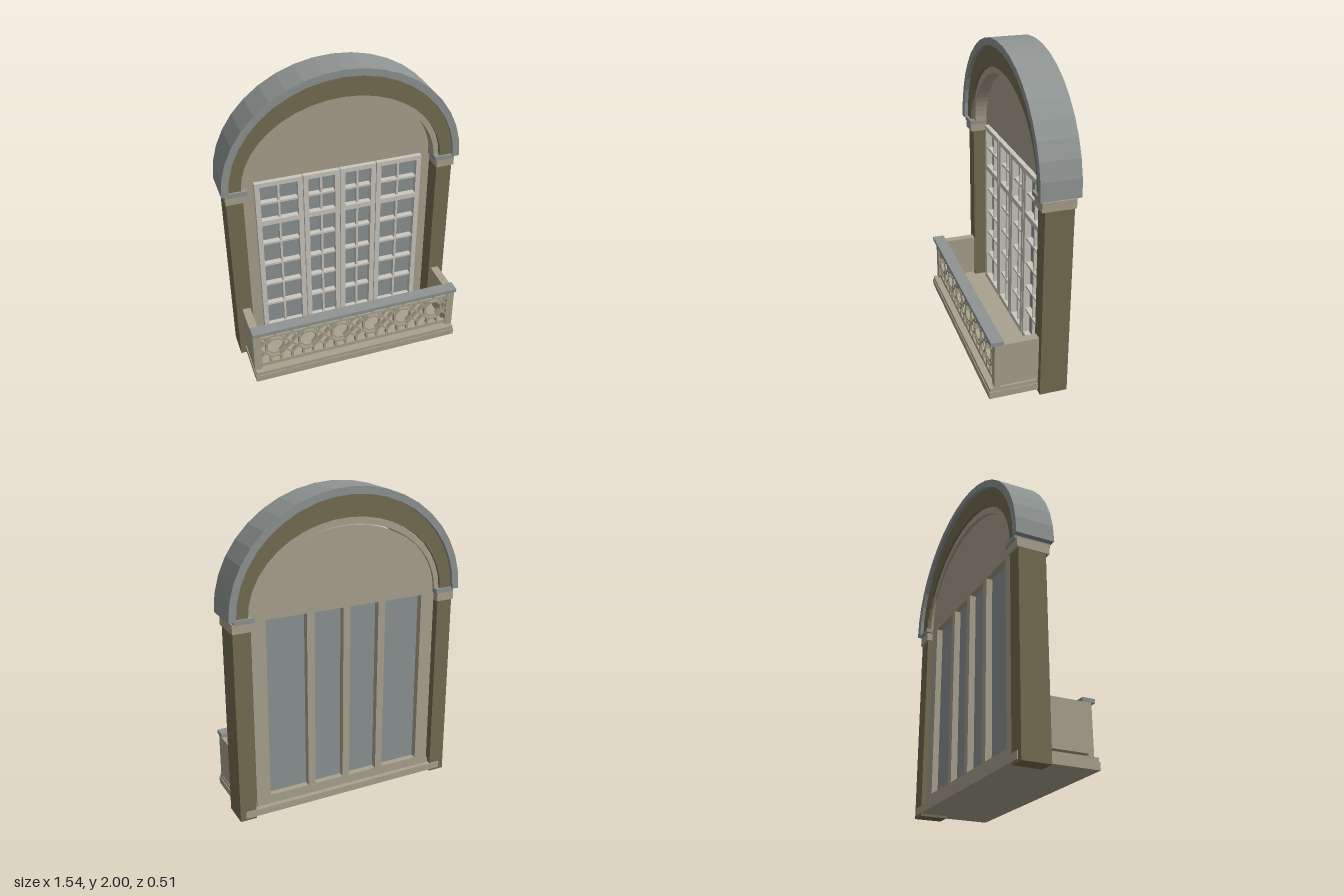
import * as THREE from 'three';

const mat = (name, color) => {
  const m = new THREE.MeshStandardMaterial({ color });
  m.name = name;
  return m;
};

export function createModel() {
  const stone = mat('beige stone', 0xa9a28e);
  const brown = mat('brown stone', 0x756d52);
  const metal = mat('grey metal', 0x8f9593);
  const paint = mat('pale paint', 0xcbc8bf);
  const glass = mat('grey glass', 0x8c9393);
  const model = new THREE.Group();

  const add = (name, geometry, material, parent = model) => {
    const mesh = new THREE.Mesh(geometry, material);
    mesh.name = name;
    parent.add(mesh);
    return mesh;
  };
  const group = (name) => {
    const g = new THREE.Group();
    g.name = name;
    model.add(g);
    return g;
  };
  // Box given by its limits on each axis
  const box = (name, x0, x1, y0, y1, z0, z1, material, parent) => {
    const m = add(name, new THREE.BoxGeometry(x1 - x0, y1 - y0, z1 - z0), material, parent);
    m.position.set((x0 + x1) / 2, (y0 + y1) / 2, (z0 + z1) / 2);
    return m;
  };
  const extrude = (name, shape, z0, z1, material, parent) => {
    const geo = new THREE.ExtrudeGeometry(shape, { depth: z1 - z0, bevelEnabled: false });
    return add(name, geo.translate(0, 0, z0), material, parent);
  };
  const rect = (x0, x1, y0, y1) => [[x0, y0], [x1, y0], [x1, y1], [x0, y1]].map(p => new THREE.Vector2(...p));

  // Half ellipse from +x over the top to -x
  const SPRING = 1.3;
  const arc = (rx, ry, n) => Array.from({ length: n + 1 }, (_, i) => {
    const a = Math.PI * i / n;
    return new THREE.Vector2(rx * Math.cos(a), SPRING + ry * Math.sin(a));
  });
  const archBand = (name, outer, inner, n, z0, z1, material) =>
    extrude(name, new THREE.Shape([...arc(...outer, n), ...arc(...inner, n).reverse()]), z0, z1, material);

  // Arch in three stepped bands
  archBand('archHood', [0.77, 0.7], [0.725, 0.655], 20, -0.258, -0.015, metal);
  archBand('archRing', [0.727, 0.657], [0.645, 0.52], 20, -0.235, -0.04, brown);
  archBand('archMoulding', [0.65, 0.525], [0.61, 0.475], 40, -0.22, -0.06, stone);

  // Columns with capitals
  for (const s of [-1, 1]) {
    const g = group(s > 0 ? 'leftColumn' : 'rightColumn');
    const part = (name, a, b, y0, y1, z0, z1, m) =>
      box(name, Math.min(s * a, s * b), Math.max(s * a, s * b), y0, y1, z0, z1, m, g);
    part('shaft', 0.635, 0.74, 0, 1.225, -0.23, -0.055, brown);
    part('capital', 0.625, 0.745, 1.225, 1.283, -0.24, -0.035, stone);
    part('capitalSlab', 0.61, 0.735, 1.28, 1.308, -0.25, -0.025, metal);
  }

  // Back wall with four tall openings
  const wall = new THREE.Shape([
    new THREE.Vector2(-0.62, 0.06), new THREE.Vector2(0.62, 0.06), ...arc(0.62, 0.465, 40),
  ]);
  const leaves = [[-0.55, -0.245], [-0.24, -0.002], [0.002, 0.24], [0.245, 0.55]];
  for (const [a, b] of leaves) wall.holes.push(new THREE.Path(rect(a + 0.022, b - 0.022, 0.12, 1.27)));
  extrude('wall', wall, -0.205, -0.14, stone);

  // Window leaves: frame with transom, glass and glazing bars
  leaves.forEach(([a, b], i) => {
    const g = group('window' + (i + 1));
    const frame = new THREE.Shape(rect(a, b, 0.11, 1.29));
    const p0 = a + 0.032, p1 = b - 0.032, mid = (a + b) / 2;
    frame.holes.push(new THREE.Path(rect(p0, p1, 0.145, 0.975)));
    frame.holes.push(new THREE.Path(rect(p0, p1, 1.01, 1.26)));
    extrude('frame', frame, -0.15, -0.11, paint, g);
    box('glass', a + 0.01, b - 0.01, 0.115, 1.28, -0.165, -0.158, glass, g);
    for (const [y0, y1] of [[0.145, 0.975], [1.01, 1.26]])
      box('uprightBar', mid - 0.007, mid + 0.007, y0, y1, -0.158, -0.125, paint, g);
    for (const y of [0.32, 0.49, 0.655, 0.825, 1.132])
      box('crossBar', p0, p1, y - 0.007, y + 0.007, -0.158, -0.12, paint, g);
  });

  // Balcony floor and sill
  const balcony = group('balcony');
  box('floor', -0.705, 0.705, 0.015, 0.06, -0.235, 0.255, stone, balcony);
  box('floorEdge', -0.7, 0.7, 0.06, 0.085, -0.2, 0.25, stone, balcony);
  for (const s of [-1, 1]) {
    const side = box('sidePanel', -0.0265, 0.0265, 0.098, 0.385, -0.06, 0.22, stone, balcony);
    side.position.x = s * 0.6765;
    const post = box('cornerPost', -0.0225, 0.0225, 0.08, 0.385, 0.185, 0.22, stone, balcony);
    post.position.x = s * 0.68;
  }
  box('handrail', -0.705, 0.705, 0.385, 0.41, 0.165, 0.243, metal, balcony);

  // Front lattice
  const lattice = group('lattice');
  const bar = (x0, y0, x1, y1, w = 0.015) => {
    const m = box('latticeBar', 0, Math.hypot(x1 - x0, y1 - y0) + w * 0.4, 0, w, 0.19, 0.215, stone, lattice);
    m.position.set((x0 + x1) / 2, (y0 + y1) / 2, 0.2025);
    m.rotation.z = Math.atan2(y1 - y0, x1 - x0);
  };
  bar(-0.66, 0.372, 0.66, 0.372, 0.026);
  bar(-0.66, 0.34, 0.66, 0.34);
  bar(-0.66, 0.115, 0.66, 0.115, 0.025);
  const step = 0.222, cy = 0.255;
  for (let i = 0; i < 6; i++) {
    const x = (i - 2.5) * step, h = step / 2;
    // Wide diamond, touching its neighbours
    for (const s of [-1, 1]) for (const t of [-1, 1]) {
      bar(x + s * h, cy, x + s * 0.03, cy + t * 0.085);
      bar(x + s * h, cy + t * 0.085, x + s * 0.06, cy + t * 0.035, 0.012);
    }
    // Octagonal ring
    const ring = new THREE.RingGeometry(0.05, 0.066, 8, 1, Math.PI / 8);
    ring.dispose();
    const oct = r => Array.from({ length: 8 }, (_, k) => new THREE.Vector2(
      x + r * Math.cos((k + 0.5) * Math.PI / 4), cy + r * Math.sin((k + 0.5) * Math.PI / 4)));
    const shape = new THREE.Shape(oct(0.07));
    shape.holes.push(new THREE.Path(oct(0.055)));
    extrude('latticeRing', shape, 0.19, 0.215, stone, lattice);
    // Short uprights above and below
    bar(x, 0.335, x, 0.365);
    bar(x + h, 0.335, x + h, 0.365);
    for (const s of [-1, 1]) bar(x + s * 0.035, 0.12, x + s * 0.035, 0.175);
    bar(x - 0.035, 0.17, x + 0.035, 0.17);
    bar(x + h, 0.12, x + h, 0.17);
  }
  return model;
}
